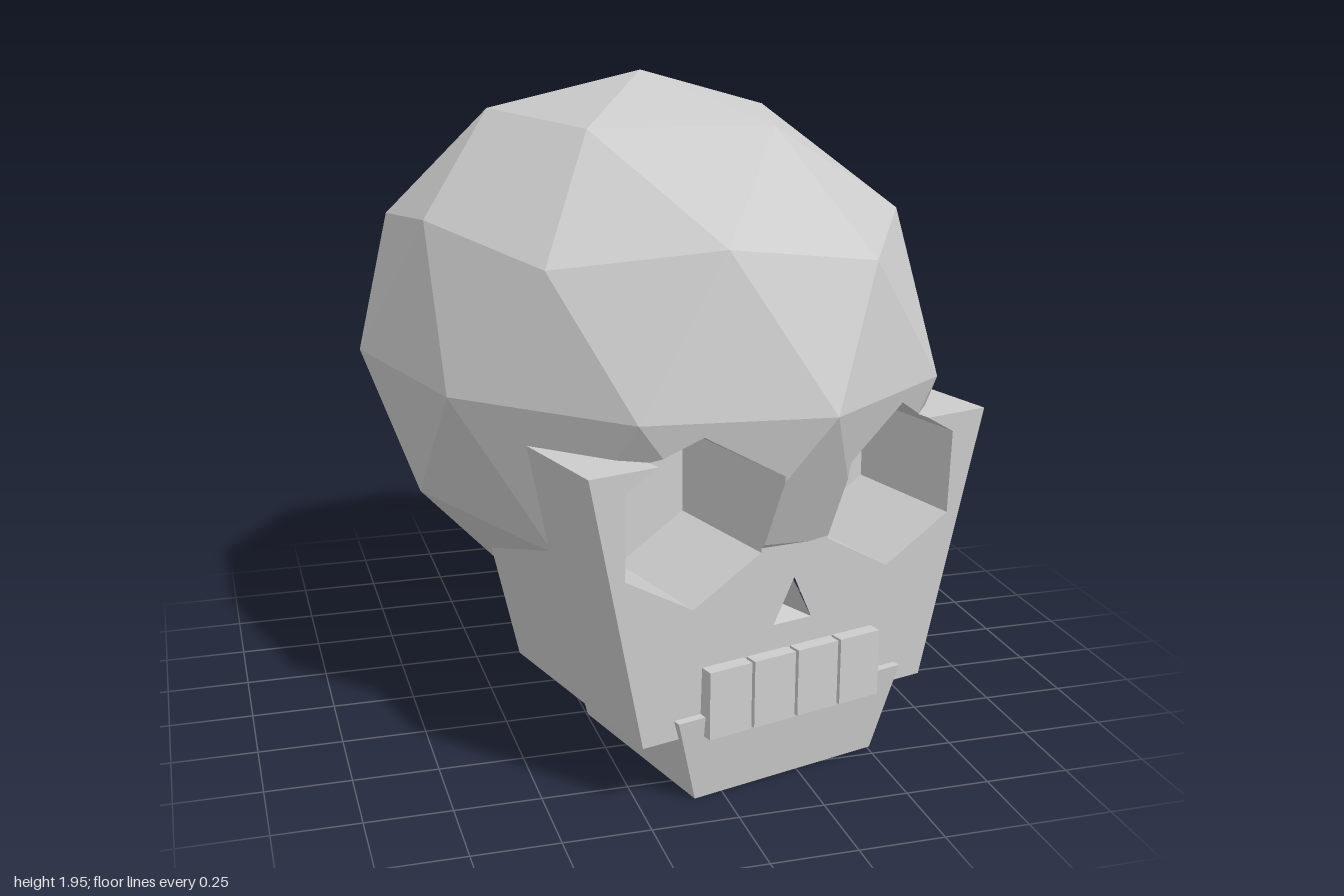
import * as THREE from 'three';

const V = (x, y, z) => new THREE.Vector3(x, y, z);
const TURN = THREE.MathUtils.degToRad(15); // the face is turned towards the model's left

// Convex solid between two matching rings; ring a is counter-clockwise seen from outside.
function loft(a, b) {
  const n = a.length;
  const sides = a.map((p, i) => [p, b[i], b[(i + 1) % n], a[(i + 1) % n]]);
  return [a, [...b].reverse(), ...sides];
}

// Solid from a side profile of [z, y] points, with half width growing with height.
function wedge(profile, bottomHalf, slope) {
  const ring = s => profile.map(([z, y]) => V(s * (bottomHalf + slope * y), y, z));
  return loft(ring(1), ring(-1));
}

const planesOf = polys => polys.map(p => new THREE.Plane().setFromCoplanarPoints(p[0], p[1], p[2]));

// Cut a convex polygon by a plane into [outer, inner] pieces.
function split(poly, plane) {
  const out = [], inn = [];
  poly.forEach((p, i) => {
    const q = poly[(i + 1) % poly.length];
    const d = plane.distanceToPoint(p), e = plane.distanceToPoint(q);
    if (d >= 0) out.push(p);
    if (d <= 0) inn.push(p);
    if (d * e < 0) {
      const m = p.clone().lerp(q, d / (d - e));
      out.push(m);
      inn.push(m);
    }
  });
  return [out.length > 2 ? out : null, inn.length > 2 ? inn : null];
}

// Remove everything inside a convex solid.
function subtract(polys, planes) {
  return polys.flatMap(poly => {
    const kept = [];
    let rest = poly;
    for (const plane of planes) {
      const [out, inn] = split(rest, plane);
      if (out) kept.push(out);
      rest = inn;
      if (!rest) return [poly];
    }
    return kept;
  });
}

// Keep only what lies inside a convex solid.
function intersect(polys, planes) {
  return polys.map(poly => planes.reduce((p, plane) => p && split(p, plane)[1], poly)).filter(Boolean);
}

function meshOf(polys, material, name) {
  const points = [];
  for (const p of polys) {
    for (let i = 1; i < p.length - 1; i++) points.push(p[0], p[i], p[i + 1]);
  }
  const geometry = new THREE.BufferGeometry().setFromPoints(points);
  geometry.computeVertexNormals();
  const mesh = new THREE.Mesh(geometry, material);
  mesh.name = name;
  return mesh;
}

// Faceted cranium: a subdivided icosahedron standing on a corner, stretched and slightly skewed.
function craniumPolys() {
  const geo = new THREE.IcosahedronGeometry(1, 1);
  geo.rotateX(Math.atan2((1 + Math.sqrt(5)) / 2, 1));
  geo.applyMatrix4(new THREE.Matrix4().set(
    0.86, 0, 0, 0,
    0, 0.83, 0, 1.12,
    0.0975, 0, 1.01, -0.0075,
    0, 0, 0, 1));
  geo.rotateY(-TURN);
  const pos = geo.attributes.position, polys = [];
  for (let i = 0; i < pos.count; i += 3) {
    polys.push([0, 1, 2].map(k => new THREE.Vector3().fromBufferAttribute(pos, i + k)));
  }
  return polys;
}

// Hexagonal eye socket
function socket(x) {
  const ring = z => Array.from({ length: 6 }, (_, i) => {
    const a = Math.PI / 2 + i * Math.PI / 3;
    return V(x + 0.25 * Math.cos(a), 0.83 + 0.25 * Math.sin(a), z);
  });
  return loft(ring(1.3), ring(0.43));
}

export function createModel() {
  const bone = new THREE.MeshStandardMaterial({ color: 0xcccccc, flatShading: true });
  bone.name = 'bone';
  const model = new THREE.Group();
  model.name = 'skull';
  model.rotation.y = TURN;

  const cranium = craniumPolys();
  const face = wedge([[0.85, 1.01], [0.82, 0.2], [0.077, 0.2], [0.0575, 0.57], [0.45, 1.01]], 0.436, 0.222);
  const jaw = wedge([[0.848, 0.26], [0.815, 0], [0.196, 0], [0.208, 0.26]], 0.308, 0.288);
  const craniumPlanes = planesOf(cranium), facePlanes = planesOf(face);

  // Pyramid-shaped nose pit
  const nose = loft(
    [V(0, 0.605, 0.84), V(-0.072, 0.475, 0.84), V(0.072, 0.475, 0.84)],
    [V(0, 0.505, 0.67), V(-0.002, 0.501, 0.67), V(0.002, 0.501, 0.67)]);

  const pits = [
    { name: 'rightEyeSocket', solid: socket(-0.33) },
    { name: 'leftEyeSocket', solid: socket(0.33) },
    { name: 'nosePit', solid: nose },
  ];
  const carve = polys => pits.reduce((p, pit) => subtract(p, planesOf(pit.solid)), polys);

  model.add(meshOf(carve(cranium), bone, 'cranium'));
  model.add(meshOf(carve(face), bone, 'face'));
  model.add(meshOf(jaw, bone, 'jaw'));

  // Pit linings face inwards and stop at the bone surface
  for (const { name, solid } of pits) {
    const lining = solid.slice(1).map(p => [...p].reverse());
    const walls = [...intersect(lining, craniumPlanes), ...intersect(lining, facePlanes)];
    model.add(meshOf(walls, bone, name));
  }

  // Upper teeth
  for (let i = 0; i < 4; i++) {
    const tooth = new THREE.Mesh(new THREE.BoxGeometry(0.138, 0.2, 0.1), bone);
    tooth.position.set(-0.005 + (i - 1.5) * 0.148, 0.3, 0.82);
    tooth.name = 'tooth' + (i + 1);
    model.add(tooth);
  }

  const root = new THREE.Group();
  root.name = 'model';
  root.add(model);
  return root;
}
